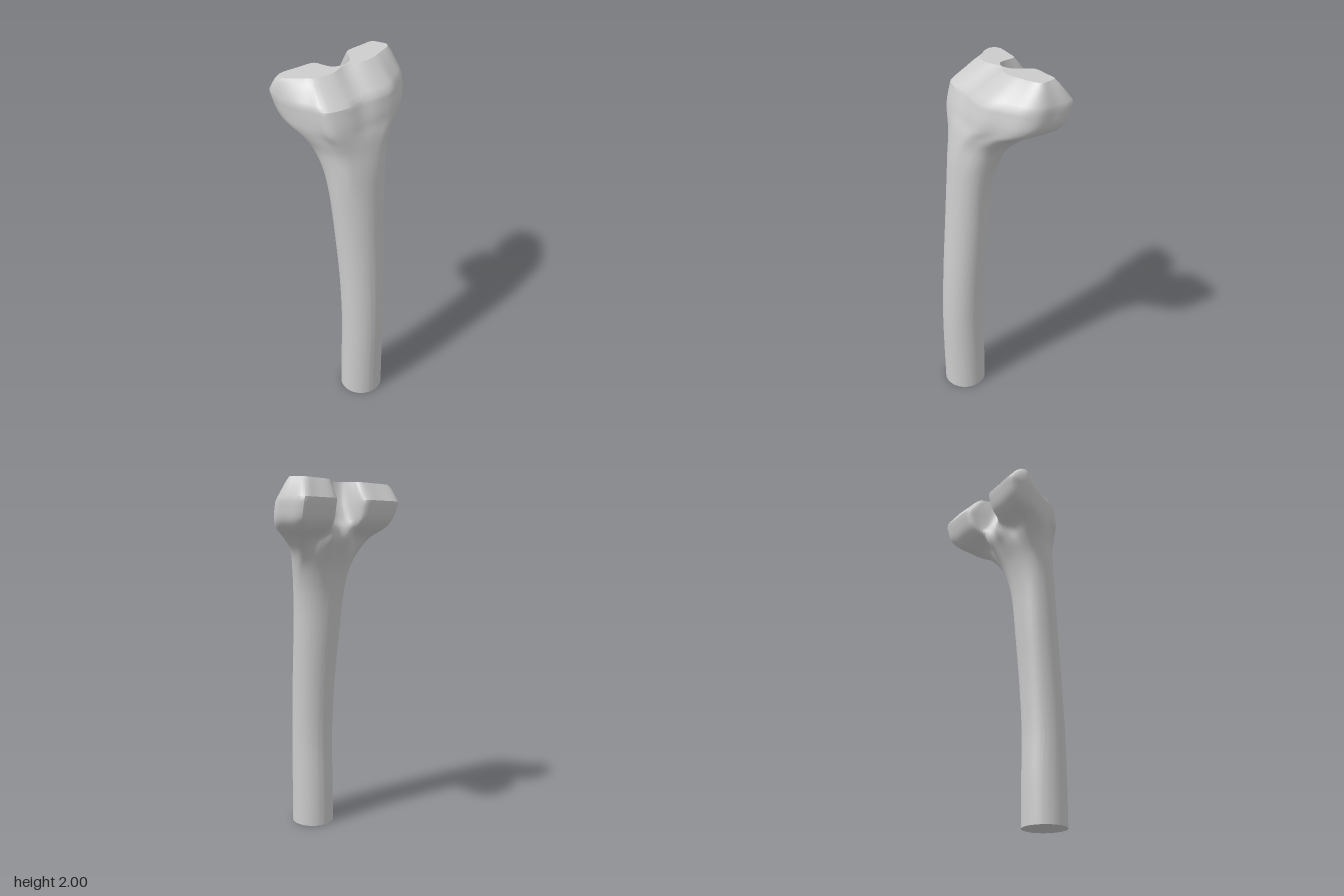
import * as THREE from 'three';
import { toCreasedNormals } from 'three/addons/utils/BufferGeometryUtils.js';

// Half outlines of the two-lobed head, back to front: [share of half width, share of depth]
const RIGHT = [[0.62, 0], [0.84, 0], [0.95, 0.28], [1, 0.48], [0.94, 0.64], [0.74, 0.8], [0.55, 0.94], [0.28, 0.98]];
const LEFT = [[0.62, 0], [0.965, 0.0], [1, 0.2], [0.95, 0.36], [0.85, 0.54], [0.71, 0.74], [0.59, 0.93], [0.28, 1]];

// Levels: height, -x extent, +x extent, front z, lobe back z, middle back z, head share, groove depth
const BODY = [
  [0, -0.13, 0.115, 0.303, 0.06, 0.06, 0, 0],
  [0.25, -0.127, 0.113, 0.305, 0.062, 0.062, 0, 0],
  [0.5, -0.125, 0.113, 0.304, 0.068, 0.068, 0, 0],
  [0.8, -0.13, 0.116, 0.29, 0.055, 0.055, 0, 0],
  [1.1, -0.146, 0.12, 0.268, 0.03, 0.03, 0, 0],
  [1.38, -0.168, 0.13, 0.247, 0.002, 0.002, 0, 0],
  [1.52, -0.187, 0.15, 0.235, -0.035, -0.035, 0.15, 0],
  [1.62, -0.218, 0.182, 0.218, -0.075, -0.085, 0.4, 0],
  [1.69, -0.265, 0.245, 0.202, -0.1, -0.125, 0.75, 0],
  [1.745, -0.315, 0.325, 0.187, -0.18, -0.125, 1, 0.005],
  [1.79, -0.335, 0.35, 0.178, -0.222, -0.1, 1, 0.01],
  [1.87, -0.353, 0.353, 0.155, -0.248, -0.07, 1, 0.02],
];
// Flat sloping cuts above the widest level
const CUTS = [
  [1.892, -0.355, 0.347, 0.128, -0.25, -0.062, 1, 0.024],
  [1.965, -0.345, 0.312, 0.026, -0.196, -0.048, 1, 0.035],
  [1.987, -0.328, 0.297, -0.005, -0.178, -0.045, 1, 0.035],
];
const STEPS = 4;

// Control points of one level: an ellipse blended towards the sheared two-lobed outline
function controls([y, xl, xr, zf, zb, zn, w, groove]) {
  const side = (list, ext, inner) => [
    [inner * 0.62, zn - 0.02],
    [inner * 0.95, zn + (zb - zn) * 0.55],
    [inner * 1.22, zb + 0.012],
    ...list.map(([sx, t]) => [sx * ext, zb + (zf - zb) * t]),
  ];
  const outline = [
    [-0.005, zn],
    ...side(RIGHT, xr, 0.068),
    [0, zf - groove],
    ...side(LEFT, xl, -0.098).reverse(),
  ];
  const cx = (xl + xr) / 2, cz = (zf + zn) / 2;
  return outline.map(([x, z], i) => {
    const a = (i / outline.length) * Math.PI * 2;
    const ex = cx + (xr - cx) * Math.sin(a), ez = cz - (zf - cz) * Math.cos(a);
    const px = THREE.MathUtils.lerp(ex, x, w);
    const tilt = 0.042 * px * THREE.MathUtils.smoothstep(y, 1.8, 1.96);
    return new THREE.Vector3(px, y + tilt, THREE.MathUtils.lerp(ez, z - 0.2 * x, w));
  });
}

// Smooth closed ring through control points
function ring(points) {
  const curve = new THREE.CatmullRomCurve3(points, true, 'centripetal');
  const n = points.length * STEPS;
  return Array.from({ length: n }, (_, i) => curve.getPoint(i / n));
}

function boneGeometry() {
  // Body levels flow smoothly, cut levels join straight
  const levels = BODY.map(controls);
  const columns = levels[0].map((_, i) =>
    new THREE.CatmullRomCurve3(levels.map((l) => l[i]), false, 'centripetal'));
  const count = (BODY.length - 1) * STEPS;
  const rings = [];
  for (let j = 0; j <= count; j++) rings.push(ring(columns.map((c) => c.getPoint(j / count))));
  CUTS.forEach((c) => rings.push(ring(controls(c))));

  const pos = [];
  const tri = (...pts) => pts.forEach((p) => pos.push(p.x, p.y, p.z));
  for (let j = 0; j < rings.length - 1; j++) {
    const lo = rings[j], hi = rings[j + 1];
    lo.forEach((a, i) => {
      const k = (i + 1) % lo.length;
      tri(a, hi[i], lo[k]);
      tri(lo[k], hi[i], hi[k]);
    });
  }

  // Flat end caps
  const cap = (pts, up) => {
    const flat = pts.map((p) => new THREE.Vector2(p.x, p.z));
    THREE.ShapeUtils.triangulateShape(flat, []).forEach(([a, b, c]) => {
      const area = THREE.ShapeUtils.area([flat[a], flat[b], flat[c]]);
      if ((area < 0) === up) tri(pts[a], pts[b], pts[c]);
      else tri(pts[a], pts[c], pts[b]);
    });
  };
  cap(rings[0], false);
  cap(rings[rings.length - 1], true);

  const geometry = new THREE.BufferGeometry();
  geometry.setAttribute('position', new THREE.Float32BufferAttribute(pos, 3));
  return toCreasedNormals(geometry, 0.6);
}

export function createModel() {
  const group = new THREE.Group();
  group.name = 'thighBone';
  const bone = new THREE.Mesh(boneGeometry(), new THREE.MeshStandardMaterial({ color: 0xcccccc }));
  bone.name = 'shaftAndCondyles';
  group.add(bone);
  return group;
}
